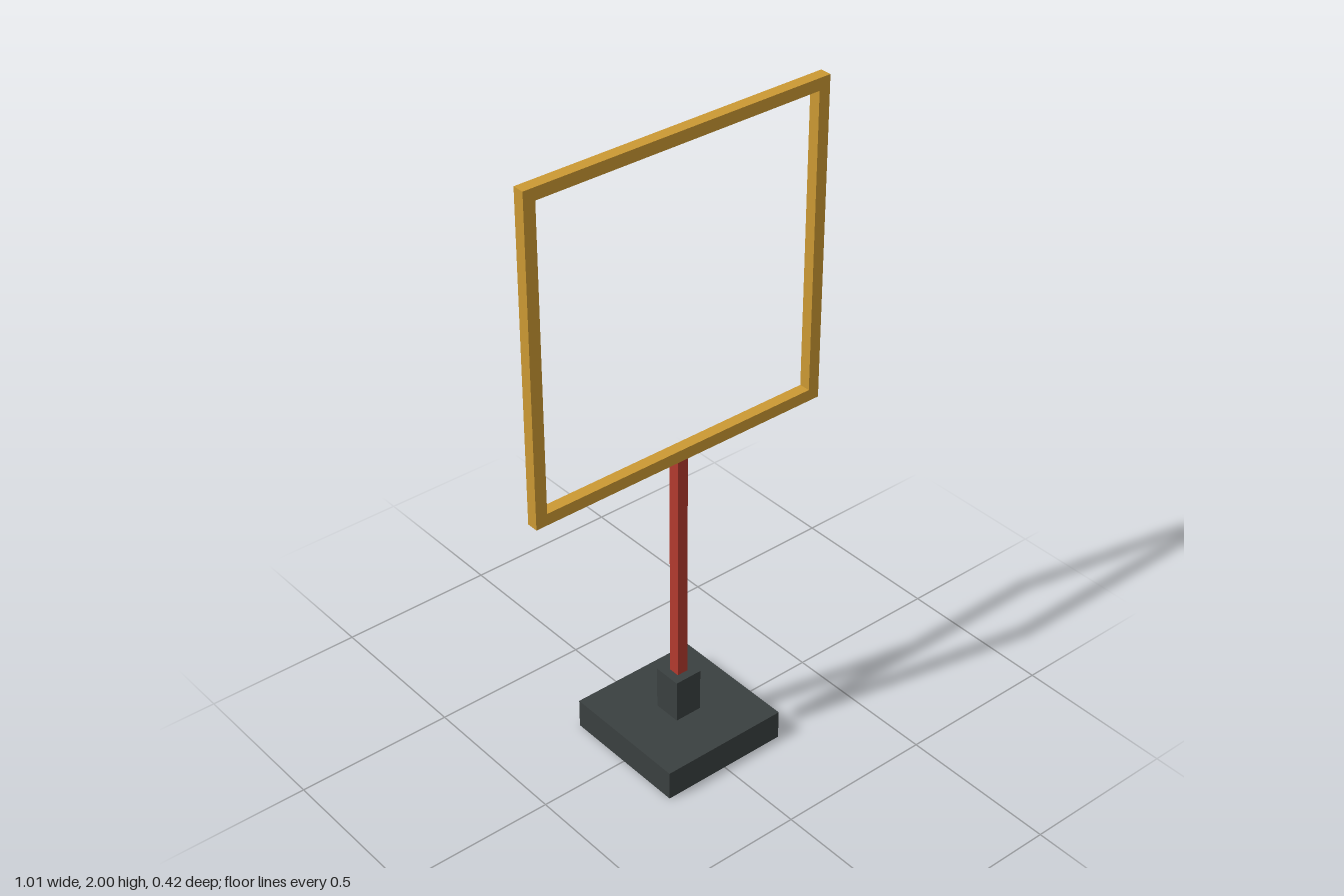
import * as THREE from 'three';

const makeMaterial = (name, color) => {
  const material = new THREE.MeshStandardMaterial({ color });
  material.name = name;
  return material;
};

export function createModel() {
  const group = new THREE.Group();
  group.name = 'squareHoopOnStand';

  const gold = makeMaterial('gold', 0xcc9933);
  const red = makeMaterial('red', 0xb33a2e);
  const charcoal = makeMaterial('charcoal', 0x3a4040);

  const add = (name, geometry, material) => {
    const mesh = new THREE.Mesh(geometry, material);
    mesh.name = name;
    group.add(mesh);
  };

  // Square upright block between two heights
  const addBlock = (name, width, bottom, top, material) => {
    const geometry = new THREE.BoxGeometry(width, top - bottom, width);
    geometry.translate(0, (bottom + top) / 2, 0);
    add(name, geometry, material);
  };

  // Stand: base slab, socket and pole
  addBlock('base', 0.42, 0, 0.095, charcoal);
  addBlock('socket', 0.09, 0.095, 0.236, charcoal);
  addBlock('pole', 0.036, 0.236, 0.99, red);

  // Square hoop, open in the middle
  const half = 0.505, bar = 0.037, depth = 0.036;
  const square = (path, r) => path.moveTo(-r, -r).lineTo(r, -r).lineTo(r, r).lineTo(-r, r).closePath();
  const outline = new THREE.Shape();
  square(outline, half);
  const opening = new THREE.Path();
  square(opening, half - bar);
  outline.holes.push(opening);
  const hoop = new THREE.ExtrudeGeometry(outline, { depth, bevelEnabled: false });
  hoop.translate(0, 2 - half, -depth / 2);
  add('hoop', hoop, gold);

  return group;
}
